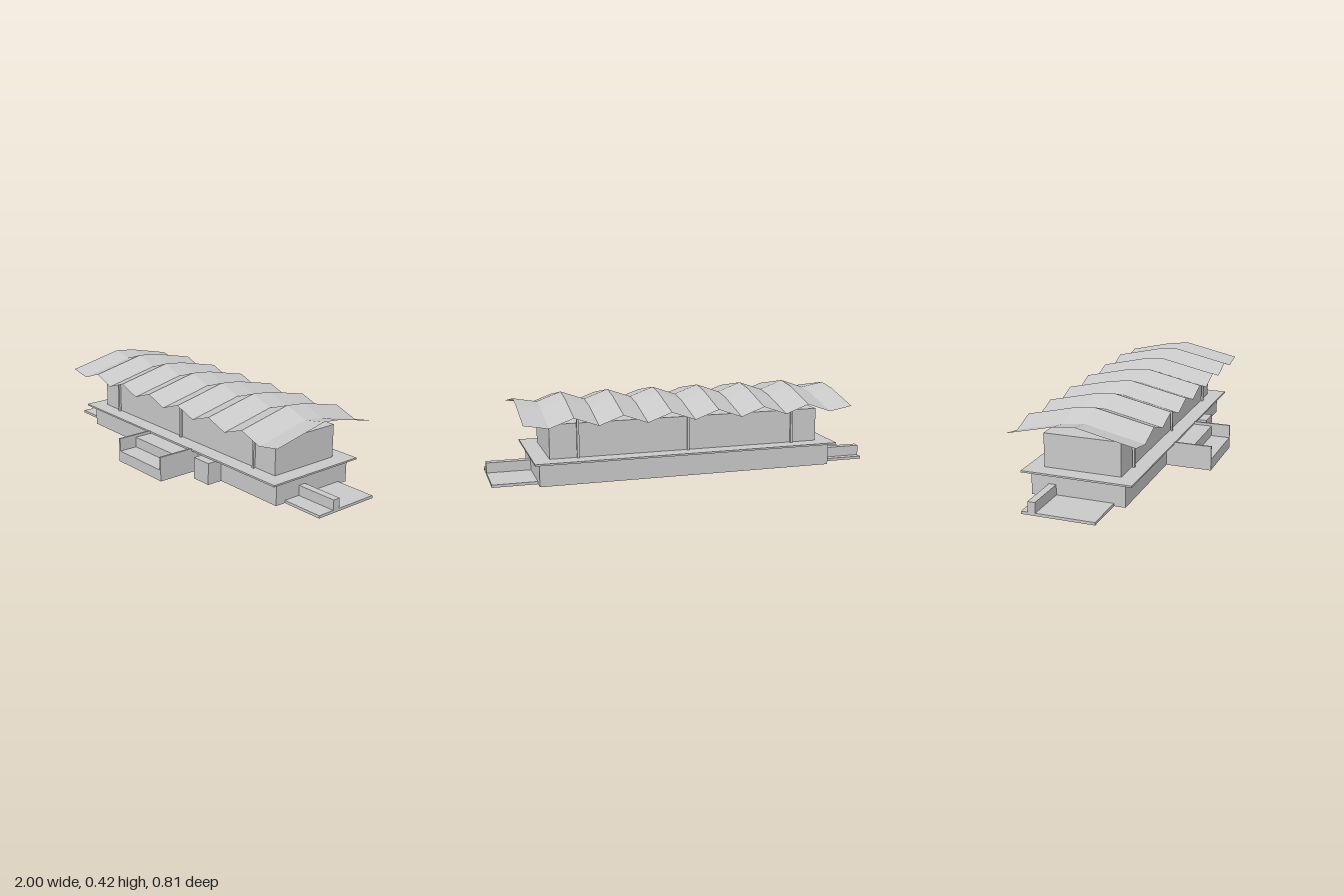
import * as THREE from 'three';

export function createModel() {
  const model = new THREE.Group();
  model.name = 'pavilion';
  const grey = new THREE.MeshStandardMaterial({ color: 0xc8c8c8, side: THREE.DoubleSide, flatShading: true });
  grey.name = 'plain grey';

  // Box given by its limits on each axis
  const box = (name, x0, x1, y0, y1, z0, z1, parent = model) => {
    const mesh = new THREE.Mesh(new THREE.BoxGeometry(x1 - x0, y1 - y0, z1 - z0), grey);
    mesh.position.set((x0 + x1) / 2, (y0 + y1) / 2, (z0 + z1) / 2);
    mesh.name = name;
    parent.add(mesh);
    return mesh;
  };

  // Main storeys
  box('groundFloor', -0.773, 0.773, 0, 0.117, -0.32, 0.165);
  box('terraceSlab', -0.8, 0.8, 0.117, 0.126, -0.363, 0.207);
  box('upperFloor', -0.715, 0.715, 0.126, 0.3, -0.277, 0.122);

  // Slim columns along the front and back walls
  for (const x of [-0.573, 0, 0.573]) {
    box('frontColumn', x - 0.006, x + 0.006, 0.126, 0.321, 0.126, 0.137);
    box('backColumn', x - 0.006, x + 0.006, 0.126, 0.321, -0.291, -0.28);
  }

  // Low end platforms, each with a long upstand
  for (const [side, z0, z1] of [[1, -0.027, 0.013], [-1, -0.228, -0.19]]) {
    const inner = side * 0.773, outer = side;
    const a = Math.min(inner, outer), b = Math.max(inner, outer);
    box('endPlatform', a, b, 0, 0.014, -0.263, 0.107);
    box('platformUpstand', a, b, 0.014, 0.067, z0, z1);
  }

  // Stepped porch, open underneath
  const porch = new THREE.Group();
  porch.name = 'porch';
  model.add(porch);
  for (const side of [-1, 1]) {
    const x = side * 0.178;
    box('porchSideWall', x - 0.005, x + 0.005, 0, 0.117, 0.165, 0.207, porch);
    box('porchSideWall', x - 0.005, x + 0.005, 0, 0.13, 0.207, 0.407, porch);
  }
  box('porchFrontWall', -0.173, 0.173, 0, 0.06, 0.398, 0.407, porch);
  box('porchLowerStep', -0.173, 0.173, 0.052, 0.06, 0.305, 0.398, porch);
  box('porchRiser', -0.173, 0.173, 0.052, 0.115, 0.297, 0.305, porch);
  box('porchUpperStep', -0.173, 0.173, 0.107, 0.115, 0.165, 0.297, porch);

  // Small box beside the porch
  box('frontCabinet', 0.257, 0.37, 0, 0.115, 0.165, 0.25);

  // Folded roof: zigzag along x, bent along z; both ends stop at half height
  const bends = [[-0.405, 0.329], [-0.165, 0.386], [-0.05, 0.399], [0.25, 0.335]];
  const folds = 14, halfSpan = 0.858;
  const point = (i, j) => {
    const lift = i === 0 || i === folds ? 0 : (i % 2 ? -0.022 : 0.022);
    return [-halfSpan + (2 * halfSpan * i) / folds, bends[j][1] + lift, bends[j][0]];
  };
  const vertices = [];
  for (let i = 0; i < folds; i++) {
    for (let j = 0; j < bends.length - 1; j++) {
      const a = point(i, j), b = point(i, j + 1), c = point(i + 1, j + 1), d = point(i + 1, j);
      vertices.push(...a, ...b, ...c, ...a, ...c, ...d);
    }
  }
  const roofGeometry = new THREE.BufferGeometry();
  roofGeometry.setAttribute('position', new THREE.Float32BufferAttribute(vertices, 3));
  roofGeometry.computeVertexNormals();
  const roof = new THREE.Mesh(roofGeometry, grey);
  roof.name = 'foldedRoof';
  model.add(roof);

  return model;
}
